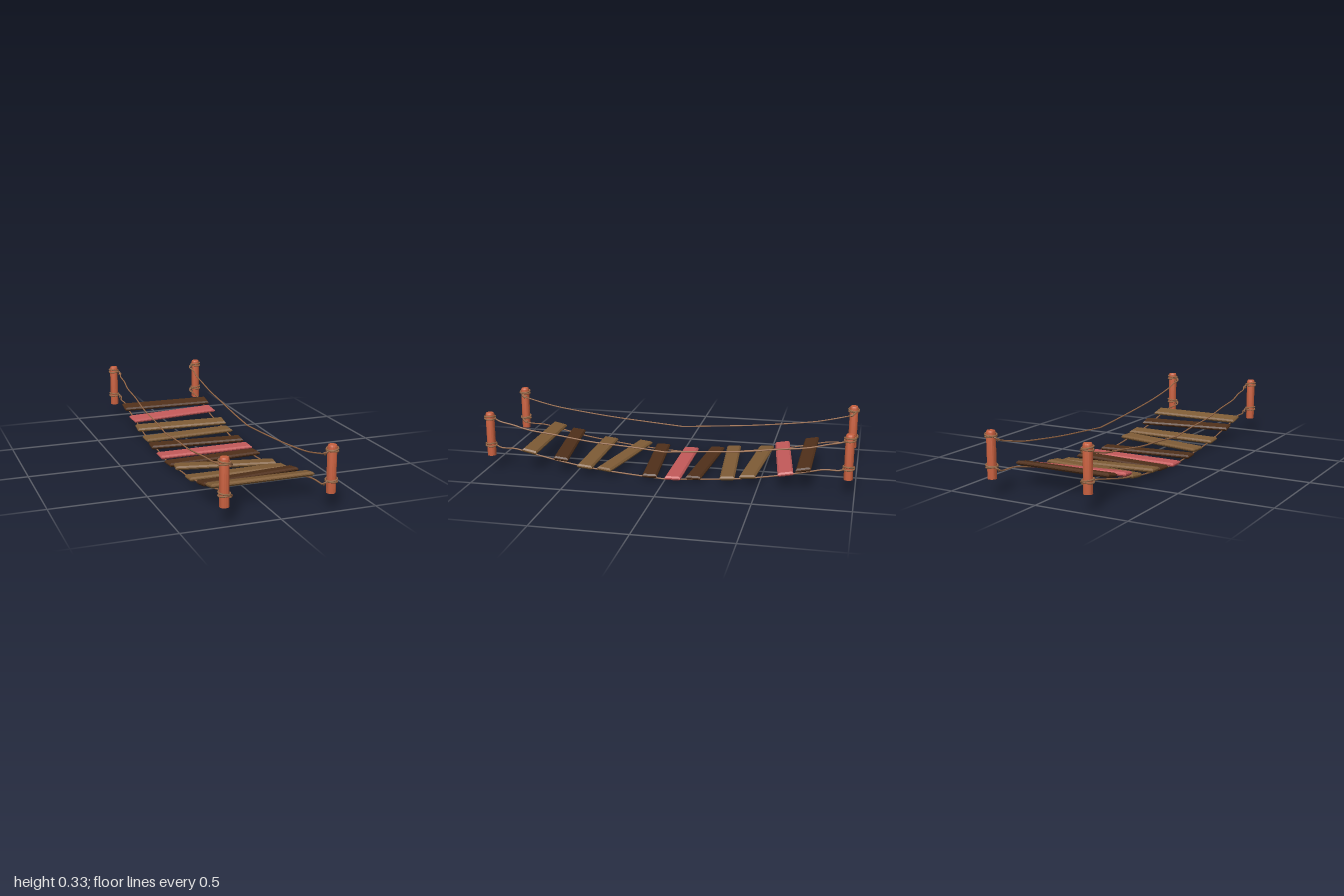
import * as THREE from 'three';
import { toCreasedNormals } from 'three/addons/utils/BufferGeometryUtils.js';

const material = (color) => new THREE.MeshStandardMaterial({ color });
const V = (x, y, z) => new THREE.Vector3(x, y, z);

const POST_X = 0.272, POST_Z = 0.965, ROPE_R = 0.004;

// Half-bridge rope paths as [x, y, z], from the post to the middle
const HAND_ROPE = [
  [0.252, 0.298, 0.968], [0.23, 0.287, 0.957], [0.241, 0.275, 0.925], [0.237, 0.257, 0.85],
  [0.242, 0.236, 0.76], [0.238, 0.215, 0.6], [0.243, 0.191, 0.4], [0.238, 0.176, 0.2], [0.24, 0.16, 0],
];
const FOOT_ROPE = [
  [0.252, 0.148, 0.968], [0.23, 0.135, 0.957], [0.241, 0.124, 0.92], [0.239, 0.122, 0.84],
  [0.242, 0.108, 0.77], [0.238, 0.071, 0.6], [0.242, 0.041, 0.4], [0.238, 0.021, 0.2], [0.24, 0.008, 0],
];

// Planks: centre z, centre y, z shift from the -x end to the +x end, wood kind
const PLANKS = [
  [-0.738, 0.121, 0.005, 'dark'], [-0.61, 0.09, -0.07, 'red'], [-0.466, 0.061, 0.038, 'light'],
  [-0.318, 0.045, -0.042, 'light'], [-0.18, 0.034, 0.042, 'dark'], [-0.048, 0.023, 0, 'red'],
  [0.1, 0.028, -0.042, 'dark'], [0.278, 0.045, 0.108, 'light'], [0.437, 0.053, 0.003, 'light'],
  [0.604, 0.089, -0.063, 'dark'], [0.75, 0.119, 0, 'light'],
];

// Flat board with chamfered rims, lying in the xz plane
function plankGeometry(length, width, thickness) {
  const bevel = 0.008;
  const x = length / 2 - bevel, z = width / 2 - bevel;
  const shape = new THREE.Shape([
    new THREE.Vector2(-x, -z), new THREE.Vector2(x, -z), new THREE.Vector2(x, z), new THREE.Vector2(-x, z),
  ]);
  const geometry = new THREE.ExtrudeGeometry(shape, {
    depth: thickness - 2 * bevel, bevelSize: bevel, bevelThickness: bevel, bevelSegments: 1,
  });
  geometry.center();
  geometry.rotateX(-Math.PI / 2);
  return geometry;
}

export function createModel() {
  const group = new THREE.Group();
  const postMaterial = material(0xc8603f);
  const ropeMaterial = material(0x9a6a48);
  const wood = { light: material(0x7f5c36), dark: material(0x50301a), red: material(0xc45a5a) };

  function add(name, geometry, mat, parent = group) {
    const mesh = new THREE.Mesh(geometry, mat);
    mesh.name = name;
    parent.add(mesh);
    return mesh;
  }

  // Post with a chamfered top
  const profile = [[0, 0.09], [0.0235, 0.09], [0.0235, 0.322], [0.02, 0.33], [0, 0.33]]
    .map(([r, y]) => new THREE.Vector2(r, y));
  const postGeometry = toCreasedNormals(new THREE.LatheGeometry(profile, 16), 0.5);
  const ringGeometry = new THREE.TorusGeometry(0.0285, 0.0045, 6, 20).rotateX(Math.PI / 2);

  for (const sx of [-1, 1]) {
    for (const sz of [-1, 1]) {
      const corner = new THREE.Group();
      corner.name = 'cornerPost';
      corner.position.set(sx * POST_X, 0, sz * POST_Z);
      group.add(corner);
      add('post', postGeometry, postMaterial, corner);

      // Two tilted rope turns at each tie point
      for (const y of [0.153, 0.305]) {
        [[-0.005, -0.1], [0.005, 0.14]].forEach(([dy, tilt]) => {
          const ring = add('lashing', ringGeometry, ropeMaterial, corner);
          ring.position.y = y + dy;
          ring.rotation.set(sz * tilt * 0.5, 0, sx * tilt);
        });
      }

      // Ropes sag from the post to the middle of the bridge
      for (const [name, path] of [['handRope', HAND_ROPE], ['footRope', FOOT_ROPE]]) {
        const curve = new THREE.CatmullRomCurve3(path.map(([x, y, z]) => V(sx * x, y, sz * z)));
        add(name, new THREE.TubeGeometry(curve, 70, ROPE_R, 6), ropeMaterial);
        // Knot where the rope leaves its lashing
        const [x, y, z] = path[0];
        const knot = new THREE.CatmullRomCurve3([
          V(sx * x, y + 0.006, sz * (z + 0.012)), V(sx * (x - 0.017), y - 0.006, sz * z),
          V(sx * (x - 0.013), y - 0.02, sz * (z - 0.012)), V(sx * (x - 0.002), y - 0.01, sz * (z - 0.02)),
        ]);
        add('knot', new THREE.TubeGeometry(knot, 14, ROPE_R, 6), ropeMaterial);
      }
    }
  }

  // Planks follow the slope of the foot ropes, each a little askew
  PLANKS.forEach(([z, y, skew, kind], i) => {
    const width = 0.082 + 0.003 * (i % 3 - 1);
    const plank = add('plank', plankGeometry(0.54, width, 0.022), wood[kind]);
    const slope = z * (0.12 + 0.2 * Math.abs(z));
    plank.position.set((i % 3 - 1) * 0.003, y, z);
    plank.rotation.order = 'YXZ';
    plank.rotation.set(-Math.atan(slope), -Math.atan(skew / 0.53), 0.006 * (i % 3 - 1));
  });

  return group;
}
